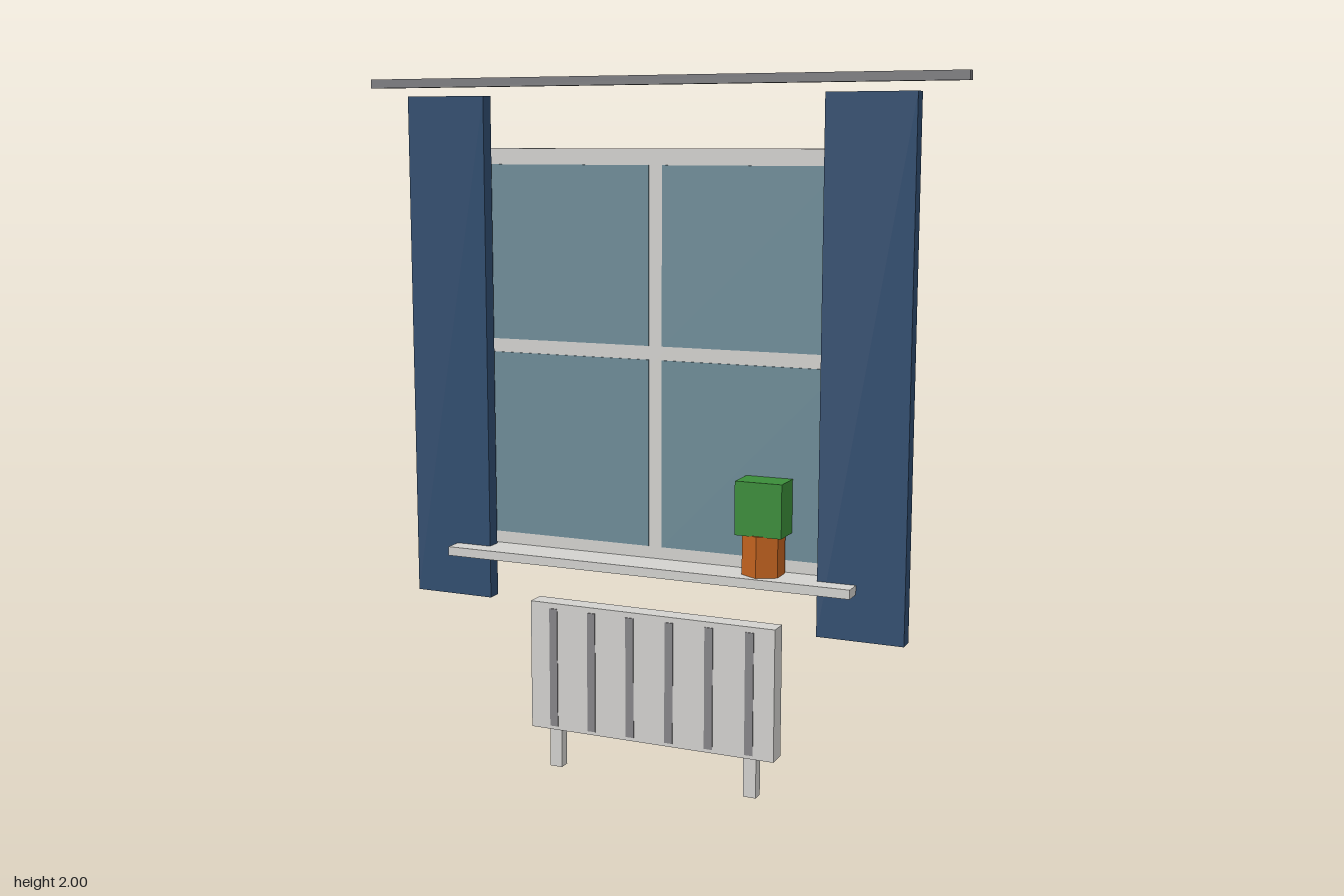
import * as THREE from 'three';

const mat = (name, color) => {
  const m = new THREE.MeshStandardMaterial({ color });
  m.name = name;
  return m;
};

export function createModel() {
  const root = new THREE.Group();
  root.name = 'windowWithRadiator';
  const white = mat('offWhite', 0xd2d1ce);
  const glass = mat('glassBlue', 0x6d8b97);
  const navy = mat('curtainNavy', 0x2f4c6e);
  const steel = mat('railGrey', 0x7a7a7d);
  const slot = mat('slotGrey', 0x868588);
  const clay = mat('terracotta', 0xc0621f);
  const leaf = mat('leafGreen', 0x3a8c39);

  const add = (parent, name, geometry, material) => {
    const mesh = new THREE.Mesh(geometry, material);
    mesh.name = name;
    parent.add(mesh);
    return mesh;
  };
  // Box given by its [min, max] range on each axis
  const box = (parent, name, material, [x0, x1], [y0, y1], [z0, z1]) => {
    const mesh = add(parent, name, new THREE.BoxGeometry(x1 - x0, y1 - y0, z1 - z0), material);
    mesh.position.set((x0 + x1) / 2, (y0 + y1) / 2, (z0 + z1) / 2);
    return mesh;
  };
  const group = (name) => {
    const g = new THREE.Group();
    g.name = name;
    root.add(g);
    return g;
  };

  // Window: solid frame with four thin panes
  const win = group('window');
  box(win, 'frame', white, [-0.58, 0.58], [0.645, 1.805], [-0.078, -0.036]);
  for (const [y0, y1] of [[0.69, 1.223], [1.262, 1.76]]) {
    for (const [x0, x1] of [[-0.54, -0.02], [0.02, 0.54]]) {
      box(win, 'pane', glass, [x0, x1], [y0, y1], [-0.037, -0.033]);
    }
  }
  box(win, 'sill', white, [-0.612, 0.612], [0.629, 0.655], [-0.074, 0.078]);

  // Curtains on a rail
  const drapes = group('curtains');
  box(drapes, 'curtainRail', steel, [-0.877, 0.877], [1.975, 2], [-0.011, 0.015]);
  box(drapes, 'leftCurtain', navy, [0.503, 0.748], [0.5, 1.95], [-0.019, 0.024]);
  box(drapes, 'rightCurtain', navy, [-0.748, -0.503], [0.5, 1.95], [-0.019, 0.024]);

  // Potted plant on the sill
  const plant = group('pottedPlant');
  const pot = add(plant, 'pot', new THREE.CylinderGeometry(0.06, 0.06, 0.115, 6), clay);
  clay.flatShading = true;
  pot.position.set(0.342, 0.7125, 0.006);
  box(plant, 'foliage', leaf, [0.275, 0.41], [0.768, 0.918], [-0.042, 0.055]);

  // Radiator with slots and two feet
  const radiator = group('radiator');
  box(radiator, 'panel', white, [-0.379, 0.379], [0.117, 0.5], [-0.05, 0.008]);
  for (let i = 0; i < 6; i++) {
    const x = -0.305 + i * 0.122;
    box(radiator, 'slot', slot, [x - 0.0125, x + 0.0125], [0.128, 0.484], [0.006, 0.011]);
  }
  for (const x of [-0.305, 0.305]) {
    box(radiator, 'foot', white, [x - 0.019, x + 0.019], [0, 0.117], [-0.035, -0.001]);
  }
  return root;
}
